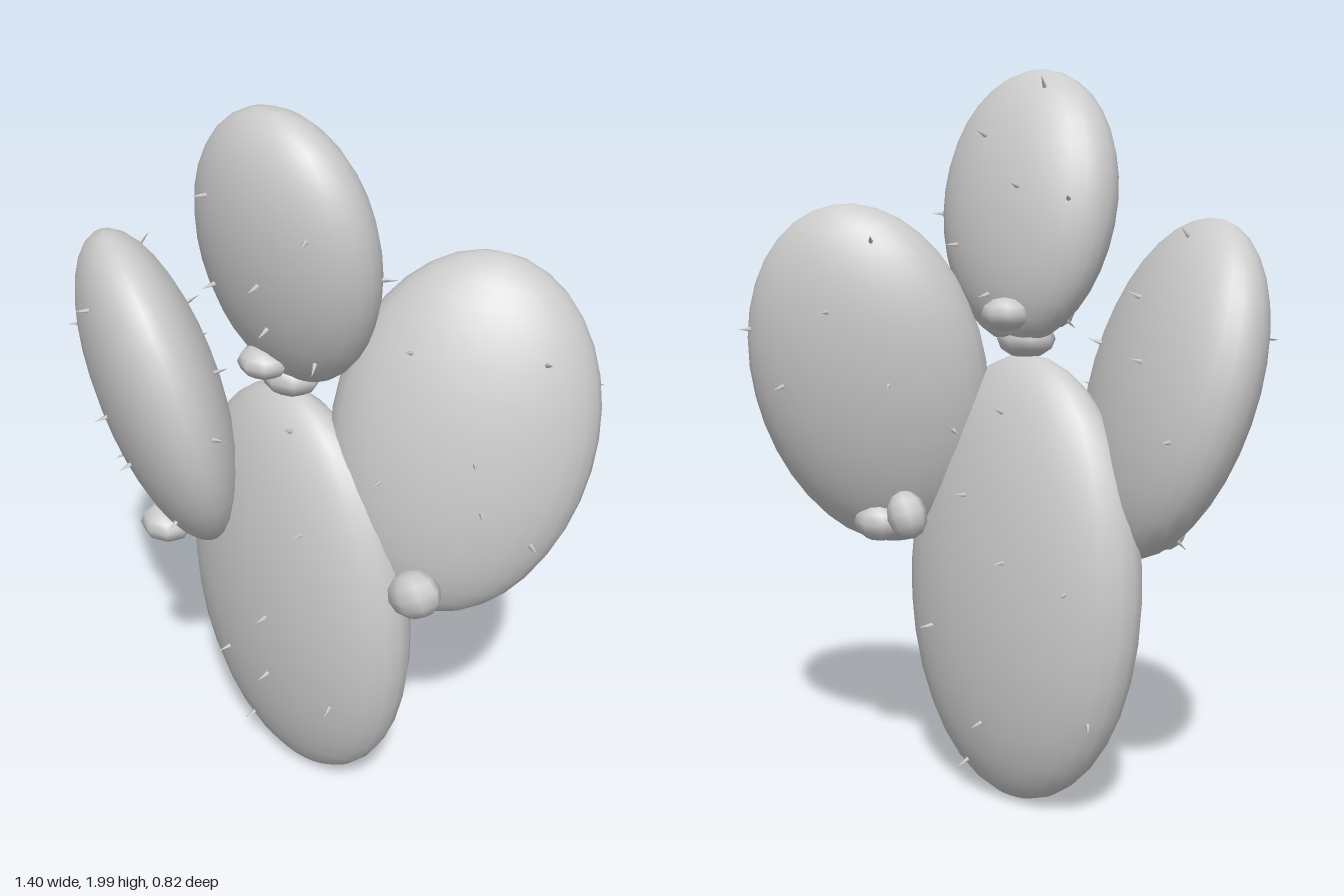
import * as THREE from 'three';

const material = new THREE.MeshStandardMaterial({ color: 0xcccccc });

// Small seeded generator for the spine scatter
function seeded(seed) {
  let s = seed;
  return () => (s = (s * 16807) % 2147483647) / 2147483647;
}

// Unit sphere squashed into a pad, slightly wider towards the top when egg > 0
function padGeometry([a, b, c], egg) {
  const geometry = new THREE.SphereGeometry(1, 28, 18);
  const p = geometry.attributes.position;
  for (let i = 0; i < p.count; i++) {
    const y = p.getY(i), k = 1 + egg * y;
    p.setXYZ(i, p.getX(i) * a * k, y * b, p.getZ(i) * c * k);
  }
  geometry.computeVertexNormals();
  // Join the normals across the sphere's seam
  const n = geometry.attributes.normal;
  for (let row = 0; row <= 18; row++) {
    const i = row * 29, j = i + 28;
    const v = new THREE.Vector3(n.getX(i) + n.getX(j), n.getY(i) + n.getY(j), n.getZ(i) + n.getZ(j)).normalize();
    n.setXYZ(i, v.x, v.y, v.z);
    n.setXYZ(j, v.x, v.y, v.z);
  }
  return geometry;
}

const spineGeometry = new THREE.ConeGeometry(0.008, 0.045, 5).translate(0, 0.014, 0);
const UP = new THREE.Vector3(0, 1, 0);

// A flat pad with spines standing out of its surface
function makePad({ name, at, size, yaw, tilt, roll, egg, spines }, seed) {
  const pad = new THREE.Group();
  pad.name = name;
  pad.position.set(...at);
  pad.rotation.set(tilt, yaw, roll, 'YXZ');
  const body = new THREE.Mesh(padGeometry(size, egg), material);
  body.name = name + 'Body';
  pad.add(body);

  const random = seeded(seed);
  const [a, b, c] = size;
  for (let i = 0; i < spines; i++) {
    // Alternate the two faces, spiralling out from the middle
    const r = 0.95 * Math.sqrt((i + 0.5) / spines);
    const angle = i * 2.4 + random() * 0.8;
    const u = r * Math.cos(angle), v = r * Math.sin(angle);
    const w = (i % 2 ? -1 : 1) * Math.sqrt(1 - r * r);
    const k = 1 + egg * v;
    const spine = new THREE.Mesh(spineGeometry, material);
    spine.name = 'spine';
    spine.position.set(u * a * k, v * b, w * c * k);
    spine.quaternion.setFromUnitVectors(UP, new THREE.Vector3(u / a, v / b, w / c).normalize());
    pad.add(spine);
  }
  return pad;
}

const PADS = [
  { name: 'mainPad', at: [-0.01, 0.623, 0.008], size: [0.41, 0.617, 0.178], yaw: -0.09, tilt: 0.03, roll: 0.02, egg: -0.02, spines: 18 },
  { name: 'topPad', at: [0.015, 1.632, 0.067], size: [0.28, 0.37, 0.153], yaw: -0.03, tilt: 0.19, roll: -0.1, egg: 0.05, spines: 14 },
  { name: 'rightFrontPad', at: [-0.385, 1.155, 0.16], size: [0.332, 0.458, 0.164], yaw: -0.465, tilt: 0.24, roll: 0.17, egg: 0.03, spines: 14 },
  { name: 'leftBackPad', at: [0.39, 1.165, -0.17], size: [0.336, 0.485, 0.179], yaw: 0.52, tilt: -0.183, roll: -0.144, egg: 0.03, spines: 14 },
];

// Buds at the joints: position, half sizes, roll
const BUDS = [
  [[-0.01, 1.28, 0.03], [0.083, 0.052, 0.075], 0],
  [[-0.02, 1.345, 0.12], [0.07, 0.042, 0.062], 0],
  [[-0.03, 1.35, -0.08], [0.066, 0.045, 0.062], 0],
  [[-0.335, 0.77, 0.2], [0.078, 0.052, 0.07], 0],
  [[0.43, 0.81, 0.04], [0.08, 0.065, 0.058], 0.5],
  [[0.35, 0.765, -0.18], [0.078, 0.055, 0.06], 0],
  [[0.23, 0.8, -0.19], [0.06, 0.068, 0.05], -0.4],
];

export function createModel() {
  const cactus = new THREE.Group();
  cactus.name = 'cactus';
  PADS.forEach((pad, i) => cactus.add(makePad(pad, 101 + i * 977)));

  const budGeometry = new THREE.SphereGeometry(1, 8, 6);
  for (const [at, size, roll] of BUDS) {
    const bud = new THREE.Mesh(budGeometry, material);
    bud.name = 'bud';
    bud.position.set(...at);
    bud.scale.set(...size);
    bud.rotation.z = roll;
    cactus.add(bud);
  }
  return cactus;
}
